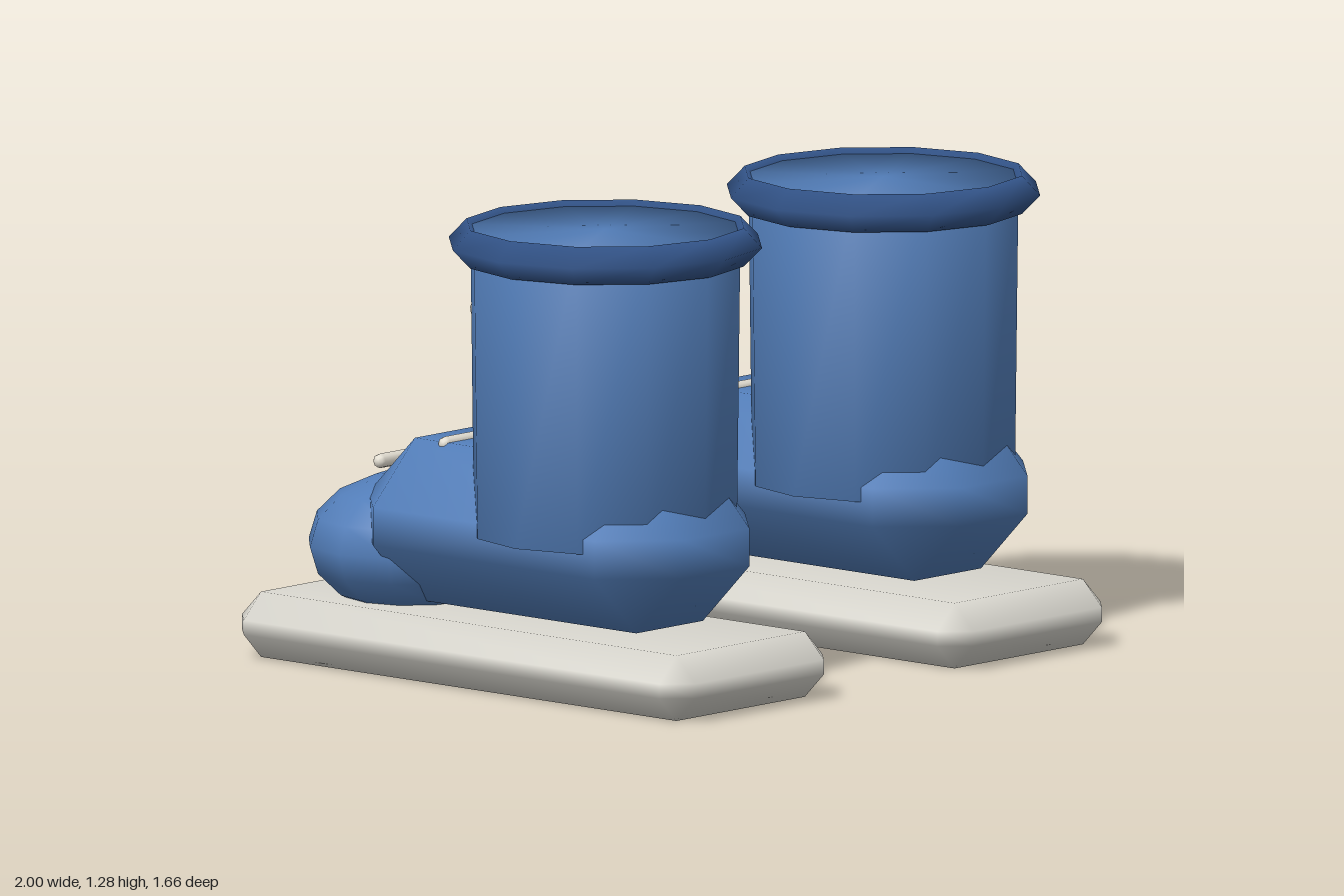
import * as THREE from 'three';
import { mergeVertices } from 'three/addons/utils/BufferGeometryUtils.js';
import { ConvexGeometry } from 'three/addons/geometries/ConvexGeometry.js';

const material = (name, color) => {
  const m = new THREE.MeshStandardMaterial({ color });
  m.name = name;
  return m;
};

// Share every vertex so that shading runs smoothly over the edges.
function smooth(geometry) {
  geometry.deleteAttribute('normal');
  geometry.deleteAttribute('uv');
  const merged = mergeVertices(geometry, 1e-4);
  merged.computeVertexNormals();
  return merged;
}

// Box with one flat chamfer of width c on all edges and corners.
function chamferBox(w, h, d, c) {
  const half = [w / 2, h / 2, d / 2];
  const points = [];
  for (let axis = 0; axis < 3; axis++)
    for (const sx of [-1, 1]) for (const sy of [-1, 1]) for (const sz of [-1, 1]) {
      const p = [sx, sy, sz].map((s, i) => s * (half[i] - (i === axis ? 0 : c)));
      points.push(new THREE.Vector3(...p));
    }
  return smooth(new ConvexGeometry(points));
}

export function createModel() {
  const boot = material('boot blue', 0x527db8);
  const trim = material('collar blue', 0x34568c);
  const soleGrey = material('sole grey', 0xd8d6ce);
  const lace = material('lace cream', 0xe4dfd3);

  const shaftGeometry = smooth(new THREE.CylinderGeometry(0.375, 0.365, 0.835, 12));
  const collarGeometry = new THREE.TorusGeometry(0.385, 0.05, 4, 12).rotateX(Math.PI / 2).scale(1, 1.05, 1);
  const footGeometry = chamferBox(0.61, 0.445, 1.15, 0.17);
  const toeGeometry = new THREE.SphereGeometry(1, 12, 8).scale(0.308, 0.195, 0.29);
  const soleGeometry = chamferBox(0.66, 0.18, 1.66, 0.07);
  const laceGeometry = new THREE.CapsuleGeometry(0.02, 0.255, 3, 8).rotateZ(Math.PI / 2);

  function createBoot(name, x) {
    const group = new THREE.Group();
    group.name = name;
    group.position.x = x;
    const add = (part, geometry, mat, y, z) => {
      const mesh = new THREE.Mesh(geometry, mat);
      mesh.name = part;
      mesh.position.set(0, y, z);
      group.add(mesh);
    };
    add('sole', soleGeometry, soleGrey, 0.09, 0);
    add('foot', footGeometry, boot, 0.4175, 0.095);
    add('toeCap', toeGeometry, boot, 0.325, -0.43);
    add('shaft', shaftGeometry, boot, 0.8475, 0.265);
    add('collar', collarGeometry, trim, 1.228, 0.265);
    // Laces, from the shaft down to the toe
    [[1.02, -0.09], [0.635, -0.205], [0.595, -0.327], [0.56, -0.443]]
      .forEach(([y, z], i) => add('lace' + (i + 1), laceGeometry, lace, y, z));
    return group;
  }

  const model = new THREE.Group();
  model.name = 'pairOfBoots';
  model.add(createBoot('leftBoot', 0.563), createBoot('rightBoot', -0.563));
  return model;
}
